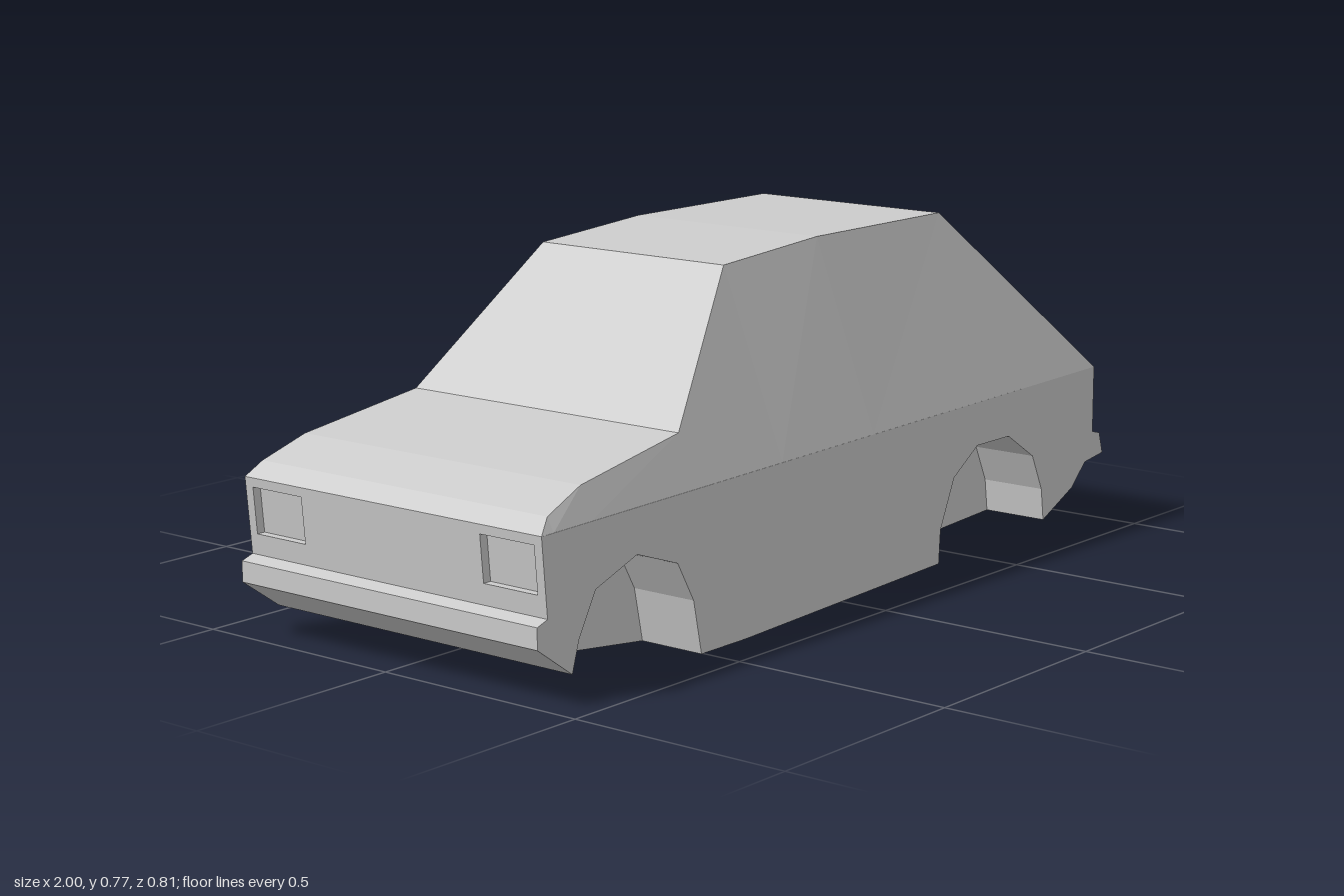
import * as THREE from 'three';

const HALF = 0.406; // half width of the body
const WELL = 0.25;  // inner wall of the wheel wells

// Lower outline (x, y): from the rear bumper round to the nose and the belt line
const rearEnd = [[0.955, 0.375], [0.955, 0.22], [0.985, 0.212], [1.0, 0.162], [0.925, 0.152], [0.87, 0.1], [0.75, 0.045]];
const rearArch = [[0.74, 0.12], [0.7, 0.205], [0.6, 0.268], [0.475, 0.268], [0.385, 0.21], [0.335, 0.1]];
const floor = [[0.33, 0.024], [-0.36, 0.003], [-0.505, 0.003]];
const frontArch = [[-0.53, 0.12], [-0.58, 0.207], [-0.705, 0.25], [-0.83, 0.205], [-0.88, 0.115]];
const frontEnd = [[-0.9, 0.05], [-1.0, 0.12], [-1.0, 0.165], [-0.97, 0.175], [-0.95, 0.175], [-0.965, 0.34]];

// Upper outline: x, y, half width
const upper = [
  [-0.985, 0.34, HALF], [-0.95, 0.37, 0.39], [-0.84, 0.41, 0.378], [-0.525, 0.458, 0.363],
  [-0.24, 0.75, 0.25], [0.08, 0.772, 0.25], [0.535, 0.772, 0.25], [0.955, 0.375, HALF],
];

function createModel() {
  const car = new THREE.Group();
  car.name = 'car';
  const material = new THREE.MeshStandardMaterial({ color: 0xcccccc, flatShading: true, side: THREE.DoubleSide });
  const add = (geometry, name) => {
    const mesh = new THREE.Mesh(geometry, material);
    mesh.name = name;
    car.add(mesh);
    return mesh;
  };
  const extrude = (points, z, depth) => {
    const shape = new THREE.Shape(points.map(([x, y]) => new THREE.Vector2(x, y)));
    return new THREE.ExtrudeGeometry(shape, { depth, bevelEnabled: false }).translate(0, 0, z);
  };

  // Full-depth core between the wheel wells, and side slabs with the arches cut out
  add(extrude([...rearEnd, ...floor, ...frontEnd], -WELL, 2 * WELL), 'bodyCore');
  const side = [...rearEnd, ...rearArch, ...floor, ...frontArch, ...frontEnd];
  add(extrude(side, WELL, HALF - WELL), 'frontSide');
  add(extrude(side, -HALF, HALF - WELL), 'backSide');

  // Nose panel with two lamp recesses, leaning slightly forward
  const h = 0.165;
  const rect = (path, z0, y0, z1, y1) =>
    path.moveTo(z0, y0).lineTo(z1, y0).lineTo(z1, y1).lineTo(z0, y1).closePath();
  const panel = rect(new THREE.Shape(), -HALF, 0, HALF, h);
  for (const z of [-0.315, 0.315]) {
    panel.holes.push(rect(new THREE.Path(), z - 0.07, 0.045, z + 0.07, 0.145));
  }
  const nose = new THREE.ExtrudeGeometry(panel, { depth: 0.02, bevelEnabled: false }).rotateY(-Math.PI / 2);
  const p = nose.attributes.position;
  for (let i = 0; i < p.count; i++) p.setX(i, p.getX(i) - 0.015 * p.getY(i) / h);
  nose.computeVertexNormals();
  add(nose, 'nosePanel').position.set(-0.95, 0.175, 0);

  // Bonnet, cabin and tailgate: sections lofted from the belt line
  const verts = [];
  const index = [];
  upper.forEach(([x, y, w], i) => {
    const belt = 0.34 + 0.035 * (x + 0.985) / 1.94;
    verts.push(x, belt, HALF, x, y, w, x, y, -w, x, belt, -HALF);
    if (i === 0) return;
    for (let k = 0; k < 3; k++) {
      const a = (i - 1) * 4 + k;
      const b = i * 4 + k;
      index.push(a, b, b + 1, a, b + 1, a + 1);
    }
  });
  const loft = new THREE.BufferGeometry();
  loft.setAttribute('position', new THREE.Float32BufferAttribute(verts, 3));
  loft.setIndex(index);
  const cabin = loft.toNonIndexed();
  cabin.computeVertexNormals();
  add(cabin, 'bonnetAndCabin');

  return car;
}

export { createModel };
